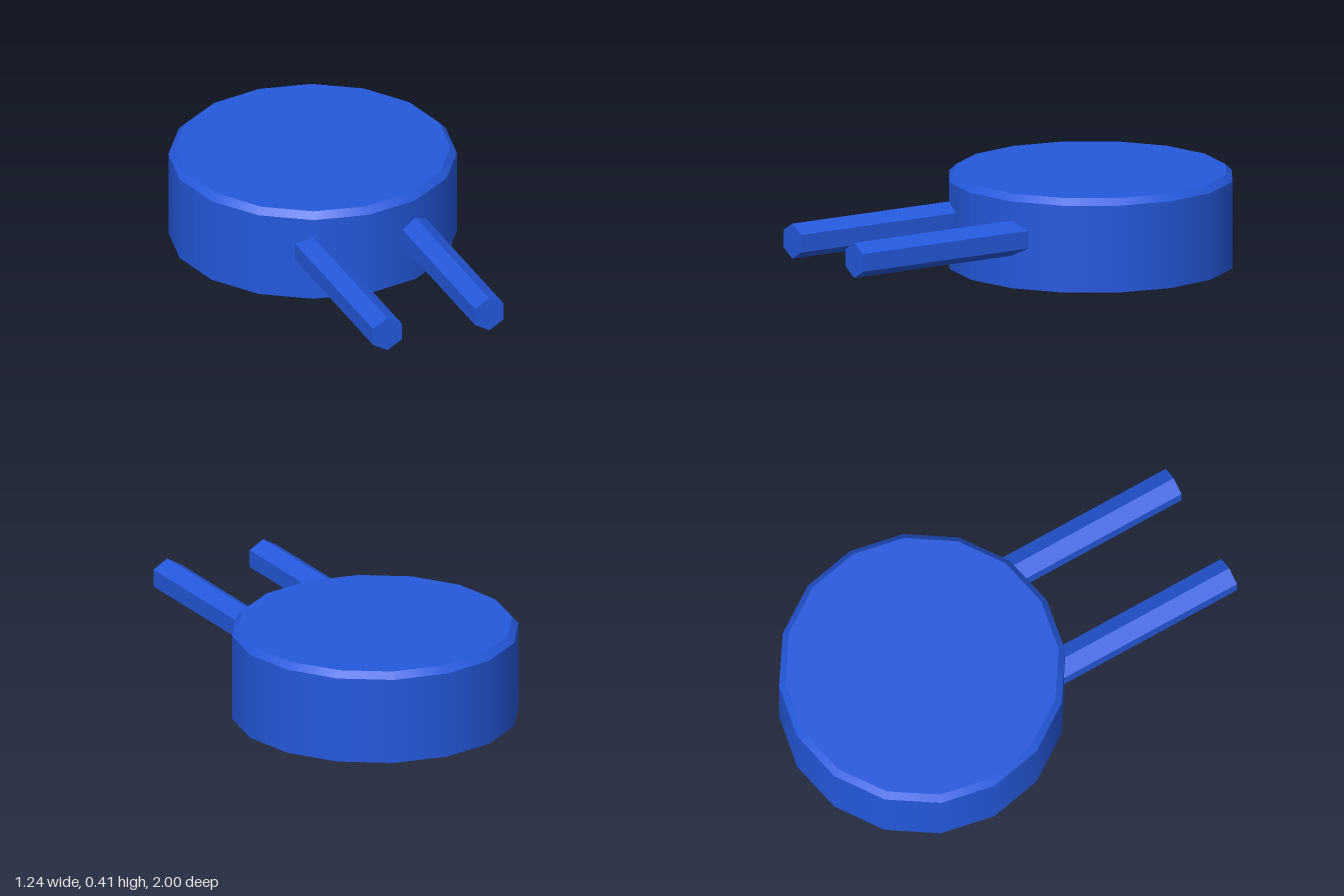
import * as THREE from 'three';

export function createModel() {
  const model = new THREE.Group();
  const blue = new THREE.MeshStandardMaterial({ color: 0x2458dc });
  blue.name = 'blue';

  const SIDES = 16, R = 0.618, R_TOP = 0.59, H = 0.408, H_WALL = 0.38, Z = -0.382;

  const add = (name, geometry, x, y, z) => {
    const mesh = new THREE.Mesh(geometry, blue);
    mesh.name = name;
    mesh.position.set(x, y, z);
    model.add(mesh);
  };

  // round body: smooth wall, bevelled rim, flat top and base
  add('bodyWall', new THREE.CylinderGeometry(R, R, H_WALL, SIDES, 1, true), 0, H_WALL / 2, Z);
  add('bodyBevel', new THREE.CylinderGeometry(R_TOP, R, H - H_WALL, SIDES, 1, true), 0, (H + H_WALL) / 2, Z);
  add('bodyTop', new THREE.CircleGeometry(R_TOP, SIDES).rotateX(-Math.PI / 2), 0, H, Z);
  add('bodyBase', new THREE.CircleGeometry(R, SIDES).rotateX(Math.PI / 2), 0, 0, Z);

  // two faceted hexagonal prongs, set slightly into the wall
  const zBack = 0.1, zFront = 1;
  const prong = new THREE.CylinderGeometry(0.077, 0.077, zFront - zBack, 6)
    .rotateX(Math.PI / 2)
    .toNonIndexed();
  prong.computeVertexNormals();
  for (const [name, side] of [['leftProng', 1], ['rightProng', -1]]) {
    add(name, prong, side * 0.237, 0.219, (zFront + zBack) / 2);
  }

  return model;
}
